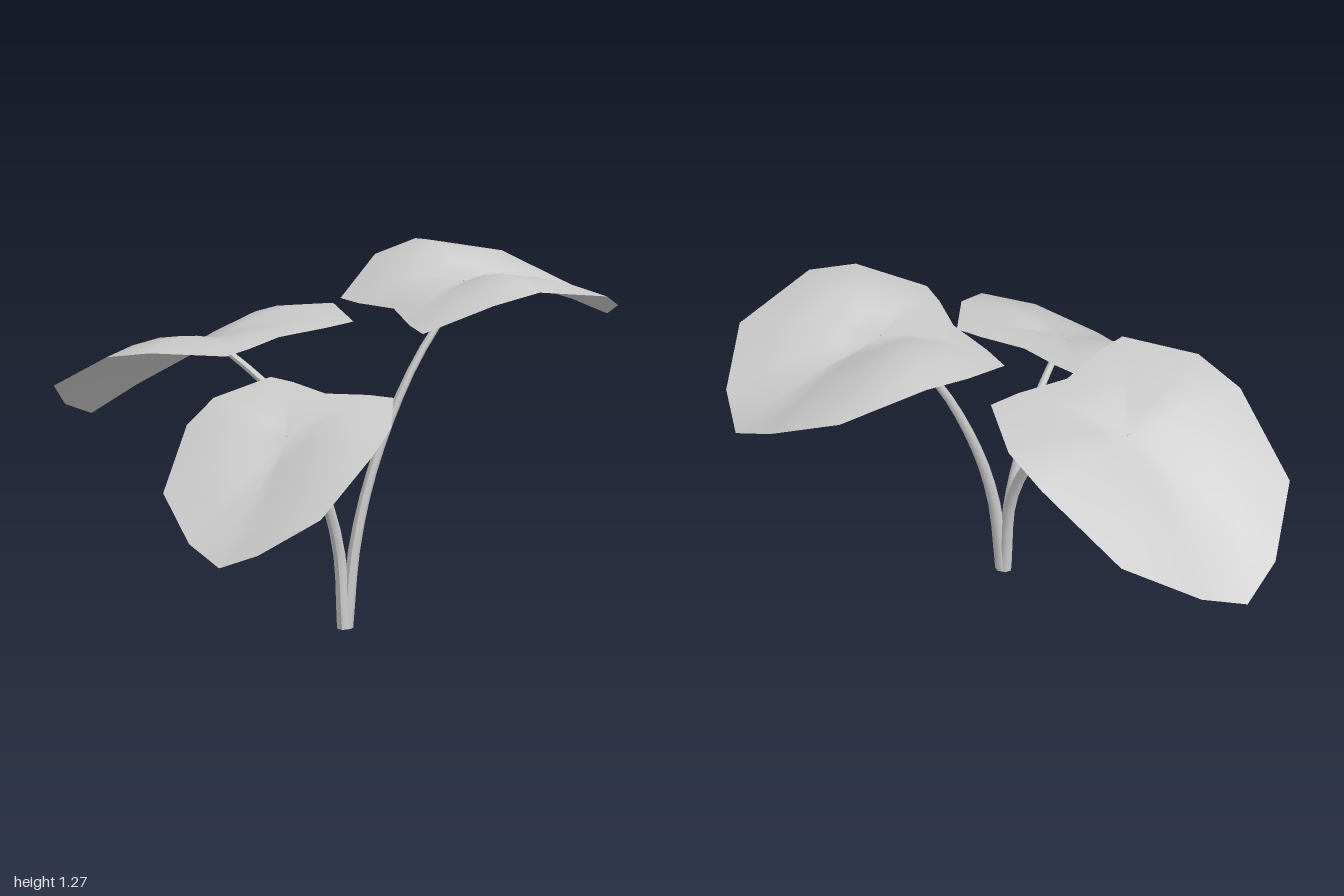
import * as THREE from 'three';

const material = new THREE.MeshStandardMaterial({ color: 0xcccccc, side: THREE.DoubleSide });
const RINGS = 4, STEM_STEPS = 14, STEM_SIDES = 7;

// Half of the leaf rim from tip to notch: along the rib, height, sideways from the rib
const halfRim = [
  [0.54, -0.13, 0.155], [0.37, -0.025, 0.355], [0.05, 0.052, 0.418],
  [-0.13, 0.025, 0.4], [-0.35, -0.075, 0.277], [-0.34, -0.07, 0.17],
];
const mirrored = halfRim.map(([u, h, v]) => [u, h, -v]).reverse();
const rim = [[0.59, -0.205, 0], ...halfRim, [-0.3, -0.055, 0], ...mirrored];

// Leaf blade: rings spread from the hub to the rim; the sides arch up more than the midrib.
function makeLeaf(hub, rib, up, side) {
  const positions = [0, 0, 0], index = [], n = rim.length;
  for (let r = 1; r <= RINGS; r++) {
    const t = r / RINGS;
    for (const [u, h, v] of rim) {
      const bulge = 0.035 + 0.015 * v * v / (u * u + v * v);
      positions.push(u * t, h * t + bulge * Math.sin(Math.PI * t), v * t);
    }
  }
  for (let i = 0; i < n; i++) {
    const j = (i + 1) % n;
    index.push(0, 1 + j, 1 + i);
    for (let r = 0; r < RINGS - 1; r++) {
      const a = 1 + r * n, b = a + n;
      index.push(a + i, a + j, b + j, a + i, b + j, b + i);
    }
  }
  const g = new THREE.BufferGeometry();
  g.setAttribute('position', new THREE.Float32BufferAttribute(positions, 3));
  g.setIndex(index);
  const axes = [rib, up, side].map(a => new THREE.Vector3(...a));
  g.applyMatrix4(new THREE.Matrix4().makeBasis(...axes).setPosition(...hub));
  g.computeVertexNormals();
  return new THREE.Mesh(g, material);
}

// Stem: a tube that narrows from the ground to the leaf hub.
function makeStem(points) {
  const curve = new THREE.CatmullRomCurve3(points.map(p => new THREE.Vector3(...p)));
  const g = new THREE.TubeGeometry(curve, STEM_STEPS, 0.025, STEM_SIDES);
  const pos = g.attributes.position, v = new THREE.Vector3();
  for (let i = 0; i < pos.count; i++) {
    const t = Math.floor(i / (STEM_SIDES + 1)) / STEM_STEPS;
    const c = curve.getPointAt(t);
    v.fromBufferAttribute(pos, i).sub(c).multiplyScalar(1 - 0.55 * t).add(c);
    pos.setXYZ(i, v.x, Math.max(0, v.y), v.z);
  }
  g.computeVertexNormals();
  return new THREE.Mesh(g, material);
}

// Each stalk: stem path up to the hub, then the leaf's rib, up and side directions
const stalks = [
  {
    name: 'backLeft', hub: [0.5, 1.195, -0.34],
    stem: [[0.175, 0, 0.045], [0.2, 0.3, 0.025], [0.25, 0.58, -0.04], [0.36, 0.92, -0.16]],
    rib: [0.66, 0, -0.75], up: [0, 1, 0], side: [0.75, 0, 0.66],
  },
  {
    name: 'backRight', hub: [-0.41, 0.925, -0.27],
    stem: [[0.165, 0, 0.045], [0.14, 0.3, 0.035], [0.05, 0.53, -0.015], [-0.13, 0.775, -0.12]],
    rib: [-0.95, -0.4, -0.53], up: [-0.08, 0.78, -0.045], side: [0.55, 0.01, -0.99],
  },
  {
    name: 'front', hub: [0.068, 0.785, 0.415],
    stem: [[0.17, 0, 0.055], [0.155, 0.27, 0.065], [0.14, 0.43, 0.12], [0.11, 0.63, 0.25]],
    rib: [-0.21, -0.44, 0.815], up: [-0.04, 0.515, 0.165], side: [-0.89, 0.005, -0.23],
  },
];

export function createModel() {
  const group = new THREE.Group();
  group.name = 'leafyPlant';
  for (const { name, hub, stem, rib, up, side } of stalks) {
    const leafMesh = makeLeaf(hub, rib, up, side);
    const stemMesh = makeStem([...stem, hub]);
    leafMesh.name = name + 'Leaf';
    stemMesh.name = name + 'Stem';
    group.add(leafMesh, stemMesh);
  }
  // Closed foot where the stems meet
  const foot = new THREE.Mesh(new THREE.CylinderGeometry(0.024, 0.024, 0.02, STEM_SIDES), material);
  foot.name = 'stemFoot';
  foot.position.set(0.17, 0.01, 0.048);
  group.add(foot);
  return group;
}
